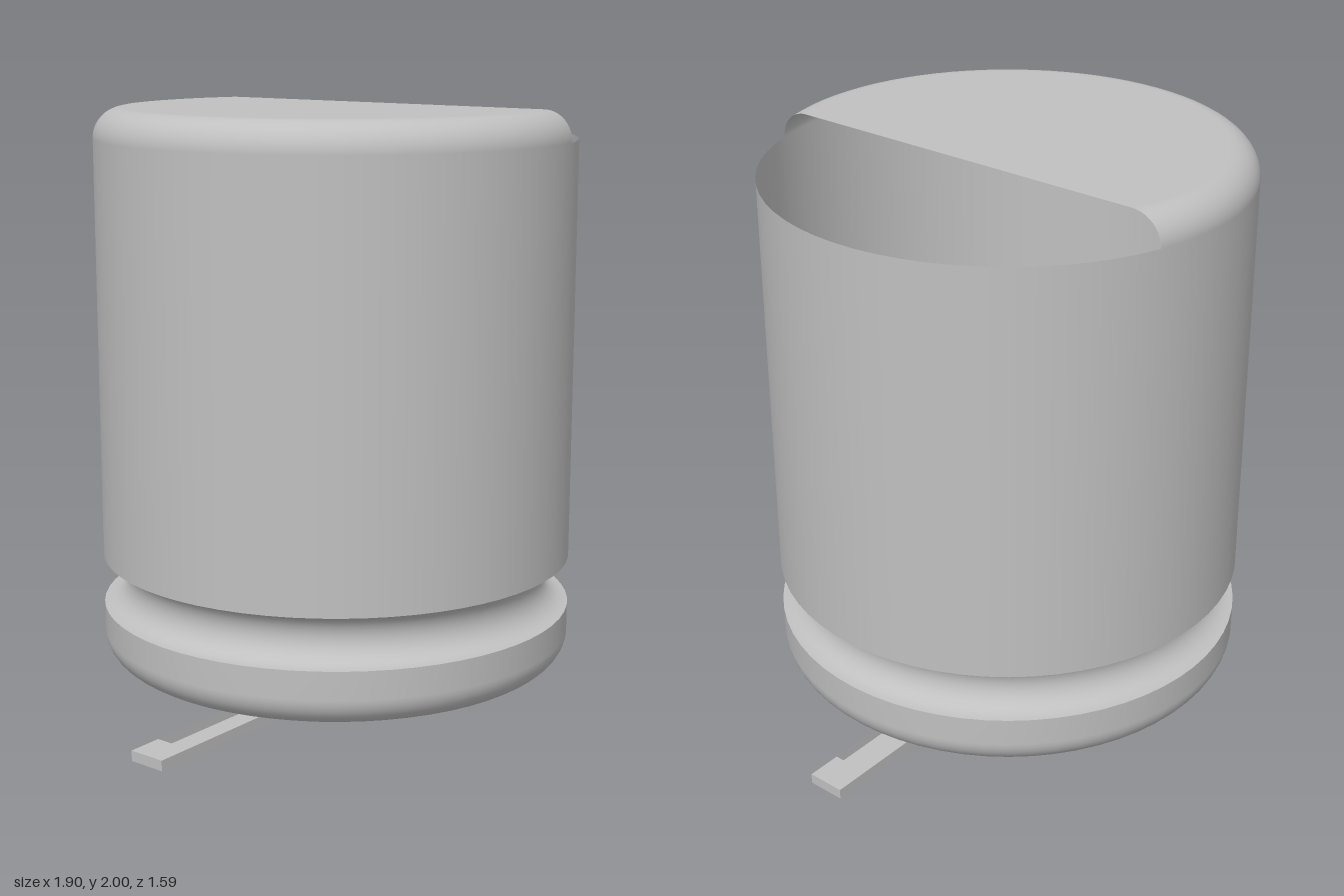
import * as THREE from 'three';
import { mergeGeometries } from 'three/addons/utils/BufferGeometryUtils.js';

const R = 0.797, FILLET = 0.1, CUT = 0.24, RIM = 1.9;

// Profile points along a circular arc, angles in degrees
function arc(cx, cy, r, from, to, n) {
  return Array.from({ length: n + 1 }, (_, i) => {
    const a = THREE.MathUtils.degToRad(from + (to - from) * i / n);
    return new THREE.Vector2(cx + r * Math.cos(a), cy + r * Math.sin(a));
  });
}

// Rounded shoulder of the lid, each ring trimmed at the plane x = CUT
function shoulderGeometry() {
  const rings = 10, seg = 48, pos = [], nor = [], idx = [];
  for (let i = 0; i <= rings; i++) {
    const t = i / rings * Math.PI / 2;
    const r = R - FILLET + FILLET * Math.cos(t), y = RIM + FILLET * Math.sin(t);
    const start = Math.acos(CUT / r);
    for (let j = 0; j <= seg; j++) {
      const a = start + (2 * Math.PI - 2 * start) * j / seg;
      pos.push(r * Math.cos(a), y, r * Math.sin(a));
      nor.push(Math.cos(t) * Math.cos(a), Math.sin(t), Math.cos(t) * Math.sin(a));
      if (i < rings && j < seg) {
        const p = i * (seg + 1) + j, up = p + seg + 1;
        idx.push(p, up, p + 1, up, up + 1, p + 1);
      }
    }
  }
  const g = new THREE.BufferGeometry();
  g.setAttribute('position', new THREE.Float32BufferAttribute(pos, 3));
  g.setAttribute('normal', new THREE.Float32BufferAttribute(nor, 3));
  g.setIndex(idx);
  return g;
}

// Flat terminal strip: floor and side walls, open on top except for the outer tip
function leadGeometry() {
  const x0 = 0.22, x1 = 0.95, tip = 0.83, w = 0.065, h = 0.035, c = 0.045;
  const outline = new THREE.Shape();
  outline.moveTo(x1, -w);
  outline.lineTo(x1, w);
  outline.lineTo(x0 + c, w);
  outline.absarc(x0 + c, w - c, c, Math.PI / 2, Math.PI, false);
  outline.absarc(x0 + c, c - w, c, Math.PI, Math.PI * 1.5, false);
  outline.closePath();
  const floor = new THREE.ShapeGeometry(outline, 6).toNonIndexed().rotateX(Math.PI / 2);
  const top = new THREE.PlaneGeometry(x1 - tip, 2 * w).toNonIndexed()
    .rotateX(-Math.PI / 2).translate((x1 + tip) / 2, h, 0);

  const pts = outline.getPoints(6), pos = [];
  pts.forEach((p, i) => {
    const q = pts[(i + 1) % pts.length];
    if (p.distanceTo(q) < 1e-6) return;
    pos.push(p.x, 0, -p.y, q.x, 0, -q.y, q.x, h, -q.y);
    pos.push(p.x, 0, -p.y, q.x, h, -q.y, p.x, h, -p.y);
  });
  const walls = new THREE.BufferGeometry();
  walls.setAttribute('position', new THREE.Float32BufferAttribute(pos, 3));
  walls.computeVertexNormals();
  floor.deleteAttribute('uv');
  top.deleteAttribute('uv');
  return mergeGeometries([floor, top, walls]);
}

export function createModel() {
  const model = new THREE.Group();
  const metal = new THREE.MeshStandardMaterial({ color: 0xc0c0c0, side: THREE.DoubleSide });
  metal.name = 'grey metal';
  const add = (name, geometry) => {
    const mesh = new THREE.Mesh(geometry, metal);
    mesh.name = name;
    model.add(mesh);
    return mesh;
  };
  const lathe = (points) => new THREE.LatheGeometry(points, 64);

  // Open can: rounded foot, crimped groove and straight wall
  add('foot', lathe([
    ...arc(R - FILLET, 0.135 + FILLET, FILLET, -90, 0, 10),
    new THREE.Vector2(R, 0.33),
  ]));
  add('groove', lathe(arc(R, 0.415, 0.085, 270, 90, 16)));
  add('wall', lathe([new THREE.Vector2(R, 0.5), new THREE.Vector2(R, RIM)]));

  // Partial lid, cut straight across
  add('lidShoulder', shoulderGeometry());
  const r = R - FILLET, a = Math.acos(CUT / r);
  const plate = new THREE.Shape();
  plate.absarc(0, 0, r, a, 2 * Math.PI - a, false);
  plate.closePath();
  add('lidTop', new THREE.ShapeGeometry(plate, 48).rotateX(-Math.PI / 2).translate(0, RIM + FILLET, 0));

  // Two mirrored terminals
  const lead = leadGeometry();
  add('leftLead', lead);
  add('rightLead', lead).rotation.y = Math.PI;

  return model;
}
